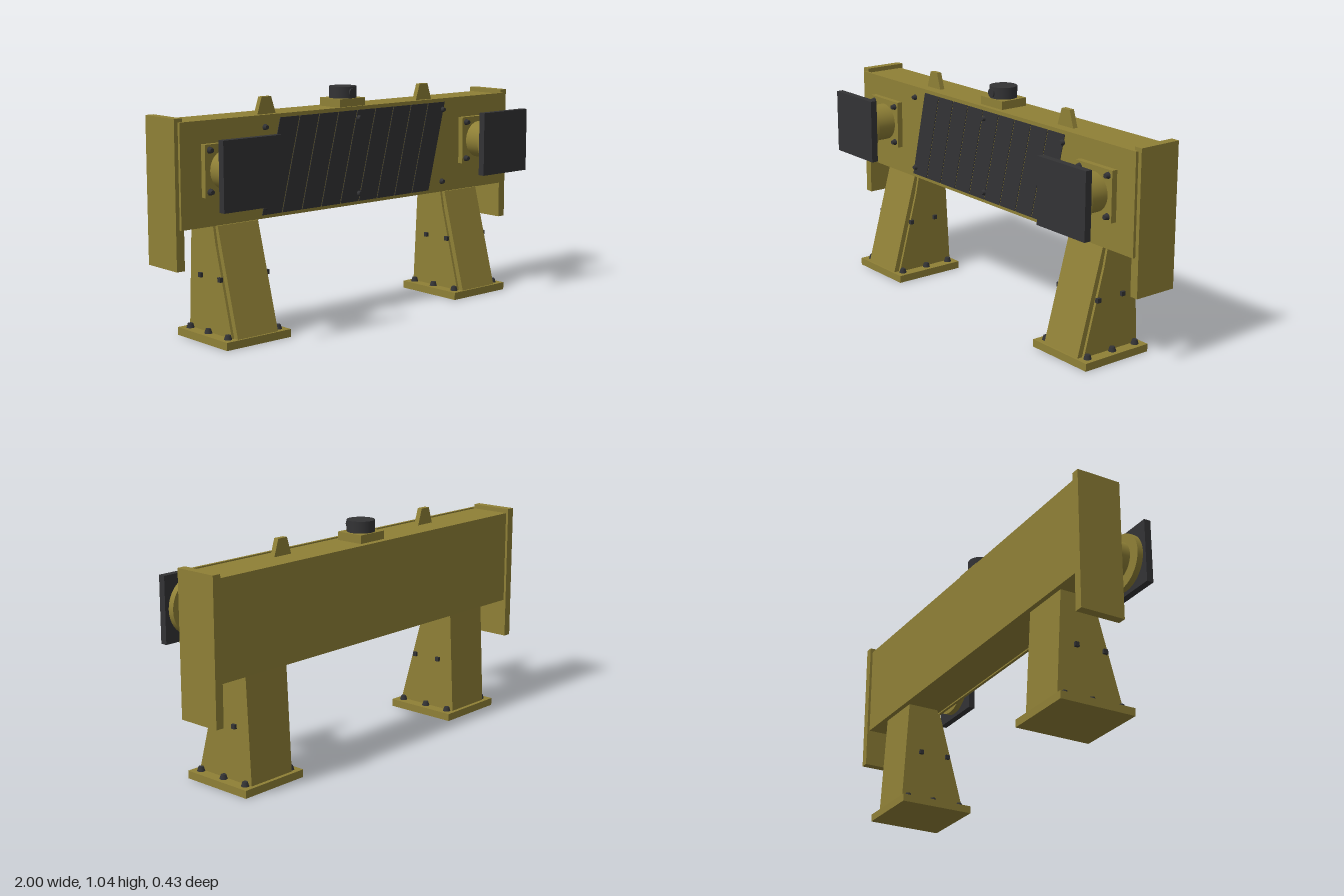
import * as THREE from 'three';

const olive = new THREE.MeshStandardMaterial({ color: 0x8f8036 });
olive.name = 'olive paint';
const dark = new THREE.MeshStandardMaterial({ color: 0x333335 });
dark.name = 'dark rubber';

export function createModel() {
  const model = new THREE.Group();
  model.name = 'trackStop';

  const add = (name, geo, mat, parent = model) => {
    const mesh = new THREE.Mesh(geo, mat);
    mesh.name = name;
    parent.add(mesh);
    return mesh;
  };
  // Box from its min and max corners
  const box = (name, x0, x1, y0, y1, z0, z1, mat, parent) => {
    const geo = new THREE.BoxGeometry(x1 - x0, y1 - y0, z1 - z0);
    geo.translate((x0 + x1) / 2, (y0 + y1) / 2, (z0 + z1) / 2);
    add(name, geo, mat, parent);
  };
  // Extrudes an outline along z, centred on z = 0
  const slab = (points, depth) => {
    const shape = new THREE.Shape(points.map(([x, y]) => new THREE.Vector2(x, y)));
    return new THREE.ExtrudeGeometry(shape, { depth, bevelEnabled: false }).translate(0, 0, -depth / 2);
  };
  // Outline in (z, y), given a width across x
  const sideSlab = (points, width) => slab(points.map(([z, y]) => [-z, y]), width).rotateY(Math.PI / 2);
  // Tapered bolt head whose base sits at (x, y, z), pointing along +y or +z
  const bolt = (x, y, z, axis, parent, r, h) => {
    const geo = new THREE.CylinderGeometry(r * 0.65, r, h, 10).translate(0, h / 2, 0);
    if (axis === 'z') geo.rotateX(Math.PI / 2);
    add('bolt', geo, dark, parent).position.set(x, y, z);
  };
  // Smooth cylinder along z
  const zDisc = (name, r, z0, z1, mat, parent) => {
    const geo = new THREE.CylinderGeometry(r, r, z1 - z0, 40).rotateX(Math.PI / 2);
    add(name, geo, mat, parent).position.z = (z0 + z1) / 2;
  };

  // Cross beam with face plate
  box('beam', -0.965, 0.965, 0.517, 0.954, -0.195, 0, olive);
  box('facePlate', -0.982, 0.982, 0.51, 0.96, 0, 0.013, olive);

  // Slanted dark warning panels
  const n = 9, pitch = 1.012 / n, gap = 0.005;
  for (let i = 0; i < n; i++) {
    const a = -0.56 + i * pitch, b = a + pitch - gap, lean = 0.105;
    const geo = slab([[a, 0.525], [b, 0.525], [b + lean, 0.943], [a + lean, 0.943]], 0.004);
    add('warningPanel', geo, dark).position.z = 0.014;
  }
  for (const x of [-0.538, 0, 0.538])
    for (const y of [0.56, 0.907]) bolt(x, y, 0.013, 'z', model, 0.014, 0.016);

  // Cap on top of the beam
  box('capBase', -0.077, 0.077, 0.953, 0.992, -0.165, -0.027, olive);
  const cap = add('cap', new THREE.CylinderGeometry(0.063, 0.063, 0.055, 32), dark);
  cap.position.set(0, 1.0175, -0.095);
  const knob = add('capKnob', new THREE.CylinderGeometry(0.02, 0.02, 0.007, 16).rotateX(Math.PI / 2), dark);
  knob.position.set(0, 1.019, -0.026);

  for (const s of [-1, 1]) {
    const side = s < 0 ? 'right' : 'left';

    // End plate and lifting lug
    box(side + 'EndPlate', s * 0.98 - 0.02, s * 0.98 + 0.02, 0.335, 0.975, -0.207, 0, olive);
    const lug = add(side + 'LiftingLug',
      slab([[-0.052, 0.95], [0.052, 0.95], [0.026, 1.03], [-0.026, 1.03]], 0.024), olive);
    lug.position.set(s * 0.477, 0, -0.065);

    // Leg: foot plate, tapered body and narrower sloping cover
    const leg = new THREE.Group();
    leg.name = side + 'Leg';
    leg.position.x = s * 0.68;
    model.add(leg);
    box('footPlate', -0.172, 0.172, 0, 0.035, -0.216, 0.14, olive, leg);
    add('legBody', sideSlab(
      [[-0.198, 0.035], [0.105, 0.035], [0, 0.42], [-0.02, 0.52], [-0.172, 0.52]], 0.24), olive, leg);
    add('legCover', sideSlab(
      [[0.1, 0.035], [0.131, 0.035], [0, 0.505], [-0.02, 0.505], [-0.02, 0.42]], 0.216), olive, leg);
    for (const e of [-1, 1]) {
      for (const z of [0.098, -0.043, -0.174]) bolt(e * 0.135, 0.035, z, 'y', leg, 0.018, 0.02);
      for (const z of [0.035, -0.104])
        box('sideBolt', e * 0.125 - 0.008, e * 0.125 + 0.008, 0.27, 0.29, z - 0.01, z + 0.01, dark, leg);
    }

    // Bumper: mounting plate, sleeve, head disc and square pad
    const bumper = new THREE.Group();
    bumper.name = side + 'Bumper';
    bumper.position.set(s * 0.764, 0.75, 0);
    model.add(bumper);
    box('mountPlate', -0.112, 0.112, -0.112, 0.112, 0.013, 0.04, olive, bumper);
    zDisc('sleeve', 0.087, 0.04, 0.148, olive, bumper);
    zDisc('headDisc', 0.13, 0.157, 0.185, olive, bumper);
    box('pad', -0.149, 0.149, -0.149, 0.149, 0.185, 0.217, dark, bumper);
    for (const x of [-0.088, 0.088])
      for (const y of [-0.088, 0.088]) bolt(x, y, 0.04, 'z', bumper, 0.015, 0.019);
  }
  return model;
}
